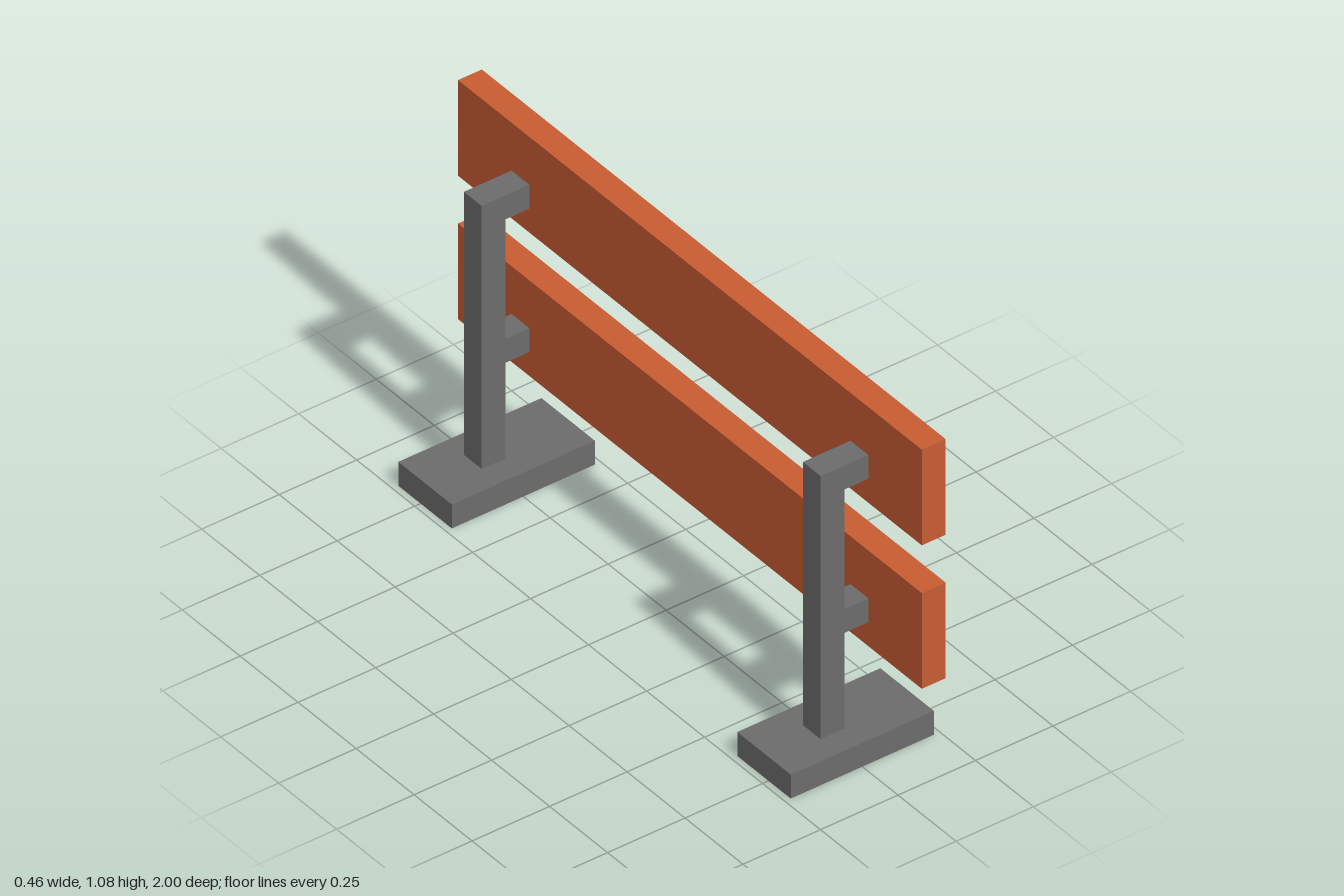
import * as THREE from 'three';

// One module: all dimensions are whole multiples of it
const U = 2 / 26;

export function createModel() {
  const model = new THREE.Group();
  model.name = 'barrier';

  const orange = new THREE.MeshStandardMaterial({ color: 0xc85c32 });
  orange.name = 'orange board';
  const grey = new THREE.MeshStandardMaterial({ color: 0x6c6c6c });
  grey.name = 'grey frame';

  const add = (parent, name, geometry, material, x, y, z) => {
    const mesh = new THREE.Mesh(geometry, material);
    mesh.name = name;
    mesh.position.set(x * U, y * U, z * U);
    parent.add(mesh);
  };
  const box = (w, h, d) => new THREE.BoxGeometry(w * U, h * U, d * U);

  // Upright with two arms, drawn as one F-shaped profile
  const profile = [
    [-1, 1], [0, 1], [0, 5], [1, 5], [1, 6], [0, 6],
    [0, 11], [1, 11], [1, 12], [-1, 12],
  ].map(([x, y]) => new THREE.Vector2(x * U, y * U));
  const postGeometry = new THREE.ExtrudeGeometry(new THREE.Shape(profile), {
    depth: U, bevelEnabled: false,
  });
  postGeometry.translate(0, 0, -U / 2);

  // Two supports, each a post on a foot
  for (const [side, z] of [['front', 9.5], ['back', -9.5]]) {
    const support = new THREE.Group();
    support.name = `${side}Support`;
    add(support, `${side}Foot`, box(6, 1, 3), grey, 0, 0.5, z);
    add(support, `${side}Post`, postGeometry, grey, 0, 0, z);
    model.add(support);
  }

  // Two long boards fixed to the arm ends
  add(model, 'lowerBoard', box(1, 4, 26), orange, 1.5, 6, 0);
  add(model, 'upperBoard', box(1, 4, 26), orange, 1.5, 12, 0);

  return model;
}
